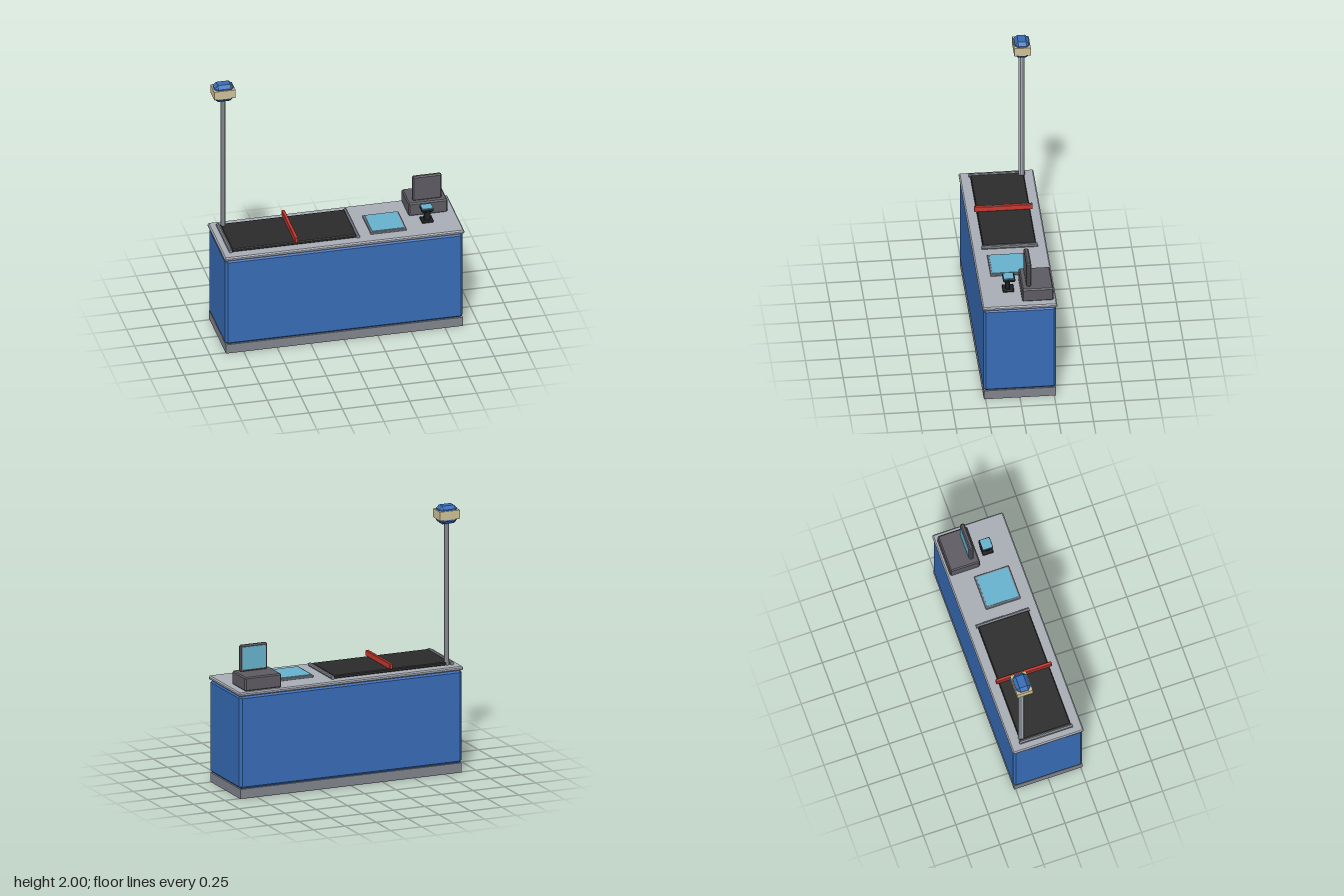
import * as THREE from 'three';
import { ConvexGeometry } from 'three/addons/geometries/ConvexGeometry.js';

const mat = (name, color) => {
  const m = new THREE.MeshStandardMaterial({ color });
  m.name = name;
  return m;
};

// Box with chamfered edges, given by its extents
function chamferBox([x0, x1], [y0, y1], [z0, z1], b) {
  const h = [(x1 - x0) / 2, (y1 - y0) / 2, (z1 - z0) / 2];
  const pts = [];
  for (const sx of [-1, 1]) for (const sy of [-1, 1]) for (const sz of [-1, 1])
    for (let a = 0; a < 3; a++) {
      const d = h.map((v, i) => (i === a ? v : v - b));
      pts.push(new THREE.Vector3(sx * d[0], sy * d[1], sz * d[2]));
    }
  return new ConvexGeometry(pts).translate((x0 + x1) / 2, (y0 + y1) / 2, (z0 + z1) / 2);
}

function plainBox([x0, x1], [y0, y1], [z0, z1]) {
  return new THREE.BoxGeometry(x1 - x0, y1 - y0, z1 - z0)
    .translate((x0 + x1) / 2, (y0 + y1) / 2, (z0 + z1) / 2);
}

export function createModel() {
  const blue = mat('cabinet blue', 0x376cb6);
  const steel = mat('light steel', 0xa8adb5);
  const grey = mat('mid grey', 0x80848c);
  const rubber = mat('belt rubber', 0x2b2b2b);
  const red = mat('divider red', 0xc83a30);
  const charcoal = mat('register charcoal', 0x5d5b62);
  const glass = mat('glass cyan', 0x66b1cd);
  const cream = mat('lamp cream', 0xcfc296);
  const black = mat('reader black', 0x222326);

  const model = new THREE.Group();
  model.name = 'checkoutCounter';
  const add = (name, geometry, material) => {
    const mesh = new THREE.Mesh(geometry, material);
    mesh.name = name;
    model.add(mesh);
    return mesh;
  };
  const box = (name, x, y, z, m, b = 0) =>
    add(name, b ? chamferBox(x, y, z, b) : plainBox(x, y, z), m);

  // Counter body
  box('plinth', [-0.882, 0.882], [0, 0.072], [-0.262, 0.262], grey);
  box('cabinet', [-0.885, 0.885], [0.07, 0.77], [-0.265, 0.265], blue, 0.018);
  box('countertop', [-0.893, 0.893], [0.768, 0.798], [-0.272, 0.272], steel, 0.009);

  // Conveyor belt with a roller at each end
  box('conveyorBelt', [-0.82, 0.108], [0.796, 0.822], [-0.194, 0.194], rubber, 0.006);
  for (const x of [-0.832, 0.117]) {
    const roller = new THREE.CylinderGeometry(0.0145, 0.0145, 0.408, 8)
      .rotateX(Math.PI / 2).translate(x, 0.81, 0);
    const mesh = add('beltRoller', roller.toNonIndexed(), grey);
    mesh.geometry.computeVertexNormals();
  }
  box('itemDivider', [-0.356, -0.332], [0.822, 0.864], [-0.213, 0.213], red, 0.003);

  // Scanner plate
  box('scannerFrame', [0.218, 0.484], [0.796, 0.813], [-0.092, 0.174], grey, 0.003);
  box('scannerGlass', [0.232, 0.47], [0.811, 0.818], [-0.079, 0.161], glass);

  // Cash register, its screen faces the cashier at the back
  box('registerBase', [0.547, 0.837], [0.797, 0.902], [-0.25, -0.022], charcoal, 0.009);
  box('registerScreen', [0.585, 0.801], [0.9, 1.1], [-0.09, -0.056], charcoal, 0.009);
  box('screenGlass', [0.6, 0.786], [0.918, 1.085], [-0.0925, -0.088], glass);

  // Card reader on a short stand
  box('readerFoot', [0.617, 0.703], [0.797, 0.815], [0.024, 0.106], black, 0.004);
  box('readerStand', [0.637, 0.683], [0.81, 0.89], [0.054, 0.086], black, 0.005);
  box('readerHead', [0.615, 0.705], [0.884, 0.913], [0.016, 0.104], black, 0.007);
  box('readerDisplay', [0.62, 0.7], [0.91, 0.9155], [0.028, 0.1], glass);

  // Lane lamp on a pole
  const pole = new THREE.CylinderGeometry(0.0238, 0.0238, 1.09, 8)
    .rotateY(Math.PI / 8).scale(0.72, 1, 1).translate(-0.799, 1.338, -0.177).toNonIndexed();
  pole.computeVertexNormals();
  add('lampPole', pole, steel);
  box('laneLamp', [-0.869, -0.729], [1.864, 2], [-0.23, -0.124], blue, 0.024);
  box('lampBand', [-0.879, -0.72], [1.9, 1.966], [-0.237, -0.117], cream);

  return model;
}
